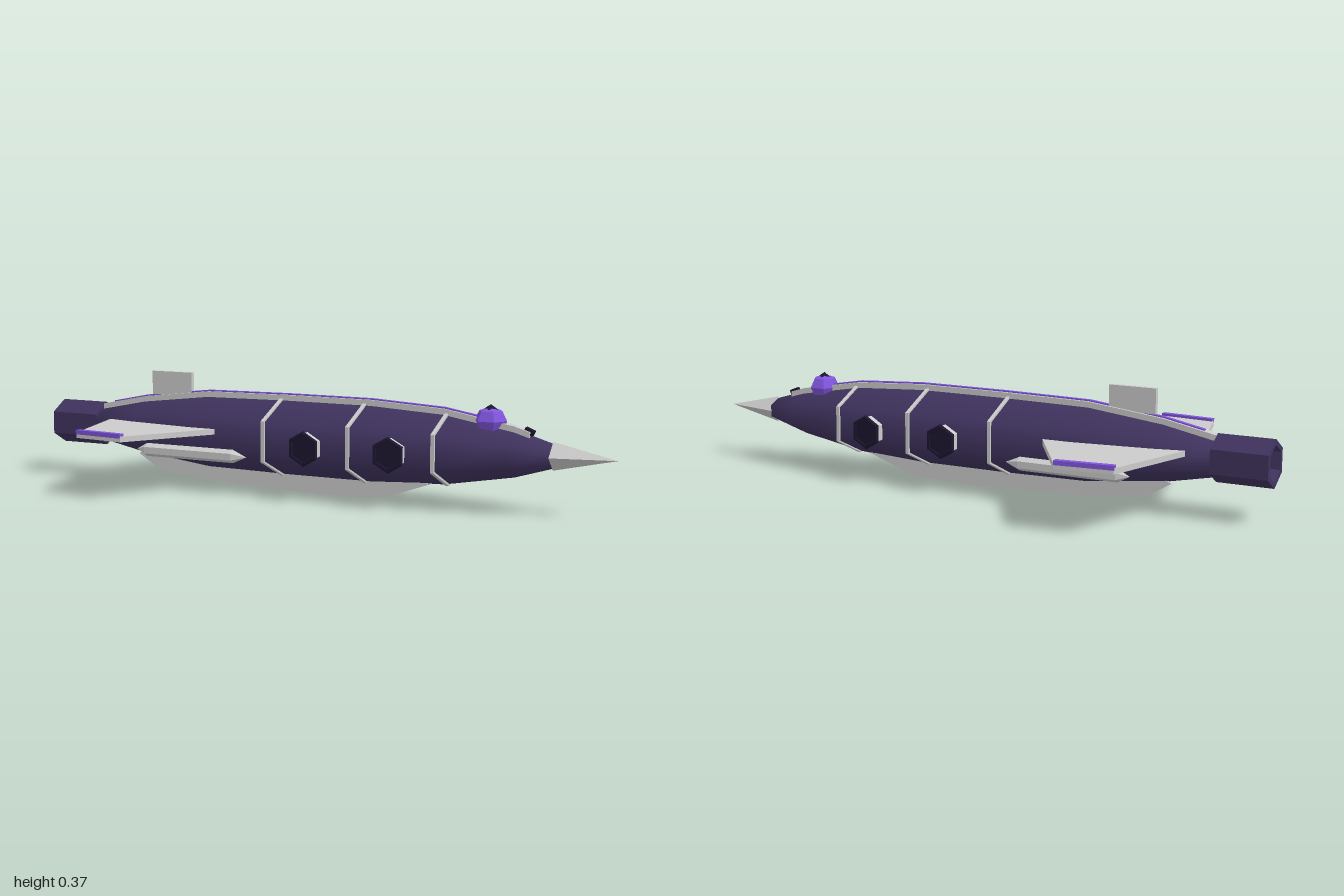
import * as THREE from 'three';

const mat = (color, flatShading = true) => new THREE.MeshStandardMaterial({ color, flatShading });
const GREY = mat(0xcccccc);
const HULL = mat(0x40335f, false);
const HULL_FLAT = mat(0x40335f);
const DARK = mat(0x1c1630);
const PURPLE = mat(0x8055dd);

const AXIS_Y = 0.18; // height of the hull axis
const SQUASH = 0.8; // hull is a hexagon flattened in height
// hull stations: [x, corner radius]
const HULL_PROFILE = [[-0.82, 0.075], [-0.65, 0.118], [-0.4, 0.155], [-0.1, 0.16], [0.2, 0.16],
  [0.45, 0.143], [0.68, 0.093], [0.8, 0.048]];

function hullRadius(x) {
  const p = HULL_PROFILE;
  for (let i = 1; i < p.length; i++) {
    if (x <= p[i][0]) {
      const t = (x - p[i - 1][0]) / (p[i][0] - p[i - 1][0]);
      return THREE.MathUtils.lerp(p[i - 1][1], p[i][1], t);
    }
  }
  return p[p.length - 1][1];
}
const hullTop = (x) => AXIS_Y + hullRadius(x) * SQUASH;

// six-sided turned body lying along x, with corners at top and bottom
function hexBody(profile, squash = 1) {
  const pts = profile.map(([x, r]) => new THREE.Vector2(r, x));
  return new THREE.LatheGeometry(pts, 6, Math.PI / 2).rotateZ(-Math.PI / 2).scale(1, squash, 1);
}

// flat plate in the xy plane, centred on z = 0
function plate(points, width) {
  const shape = new THREE.Shape(points.map(([x, y]) => new THREE.Vector2(x, y)));
  return new THREE.ExtrudeGeometry(shape, { depth: width, bevelEnabled: false }).translate(0, 0, -width / 2);
}

// strip following the crown of the hull
function crownStrip(x0, x1, low, high, width) {
  const xs = [x0, ...HULL_PROFILE.map((p) => p[0]).filter((x) => x > x0 && x < x1), x1];
  const lower = xs.map((x) => [x, hullTop(x) + low]);
  const upper = xs.map((x) => [x, hullTop(x) + high]).reverse();
  return plate([...lower, ...upper], width);
}

export function createModel() {
  const model = new THREE.Group();
  model.name = 'submarine';
  const add = (name, geometry, material, x = 0, y = 0, z = 0, parent = model) => {
    const mesh = new THREE.Mesh(geometry, material);
    mesh.name = name;
    mesh.position.set(x, y, z);
    parent.add(mesh);
    return mesh;
  };

  // hull, nose and tail nozzle
  add('hull', hexBody([[-0.82, 0], ...HULL_PROFILE, [0.8, 0]], SQUASH), HULL, 0, AXIS_Y);
  add('noseCone', new THREE.ConeGeometry(0.044, 0.2, 4).rotateZ(-Math.PI / 2), GREY, 0.9, AXIS_Y);
  add('nozzle', hexBody([[-0.93, 0.045], [-1, 0.058], [-1, 0.075], [-0.82, 0.075], [-0.82, 0]]), HULL_FLAT, 0, AXIS_Y);
  add('nozzleGlow', new THREE.CircleGeometry(0.052, 6, Math.PI / 6).rotateY(-Math.PI / 2), PURPLE, -0.95, AXIS_Y);

  // hull bands
  for (const x of [-0.12, 0.18, 0.46]) {
    const r = hullRadius(x);
    const h = 0.006;
    add('hullBand', hexBody([[-h, r - 0.01], [-h, r + 0.008], [h, r + 0.008], [h, r - 0.01]], SQUASH), GREY, x, AXIS_Y);
  }

  // dorsal spine with its stripe, fin and lamp
  add('spine', crownStrip(-0.82, 0.73, -0.02, 0.011, 0.032), GREY);
  add('spineStripe', crownStrip(-0.78, 0.6, 0, 0.015, 0.014), PURPLE);
  add('dorsalFin', new THREE.BoxGeometry(0.155, 0.08, 0.016), GREY, -0.545, 0.334);
  add('bowLamp', new THREE.BoxGeometry(0.03, 0.018, 0.018).rotateZ(-0.4), DARK, 0.725, 0.25);

  // faceted dome with a cap
  add('dome', new THREE.SphereGeometry(0.053, 6, 4).scale(1, 0.8, 1), PURPLE, 0.6, 0.277);
  add('domeCap', new THREE.OctahedronGeometry(0.023).scale(1, 0.65, 1), DARK, 0.6, 0.312);

  // keel
  add('keel', plate([[-0.68, 0.085], [-0.6, 0.037], [-0.4, 0.013], [-0.1, 0.003], [0, 0], [0.2, 0.003],
    [0.26, 0.012], [0.41, 0.065], [0.2, 0.08], [-0.4, 0.08], [-0.64, 0.105]], 0.02), GREY);

  // paired parts
  for (const side of [1, -1]) {
    // wing and its coloured tip
    const wing = add('wing', plate([[-0.76, 0.04], [-0.66, 0.4], [-0.48, 0.418], [-0.3, 0.13], [-0.3, 0.04]], 0.018),
      GREY, 0, 0.2);
    wing.rotation.x = side * Math.PI / 2;
    const tip = add('wingTip', new THREE.BoxGeometry(0.182, 0.014, 0.02), PURPLE, -0.57, 0.21, side * 0.401);
    tip.rotation.y = -side * 0.1;

    // slim side pod
    add('sidePod', hexBody([[-0.6, 0], [-0.56, 0.022], [-0.23, 0.022], [-0.18, 0]]), GREY, 0, 0.125, side * 0.143);

    // portholes, turned to follow the hull
    for (const [x, z, yaw] of [[0.04, 0.138, 0], [0.325, 0.13, 0.06]]) {
      const porthole = new THREE.Group();
      porthole.name = 'porthole';
      porthole.position.set(x, 0.172, side * z);
      porthole.rotation.set(side > 0 ? 0 : Math.PI, yaw, 0);
      model.add(porthole);
      add('portholeCollar', new THREE.CylinderGeometry(0.05, 0.05, 0.05, 6).rotateX(Math.PI / 2), GREY, 0, 0, 0.006, porthole);
      add('portholeRim', new THREE.TorusGeometry(0.048, 0.009, 6, 6).rotateZ(Math.PI / 6), DARK, 0, 0, 0.032, porthole);
      add('portholeGlass', new THREE.CylinderGeometry(0.046, 0.046, 0.008, 6).rotateX(Math.PI / 2), DARK, 0, 0, 0.032, porthole);
    }
  }
  return model;
}
